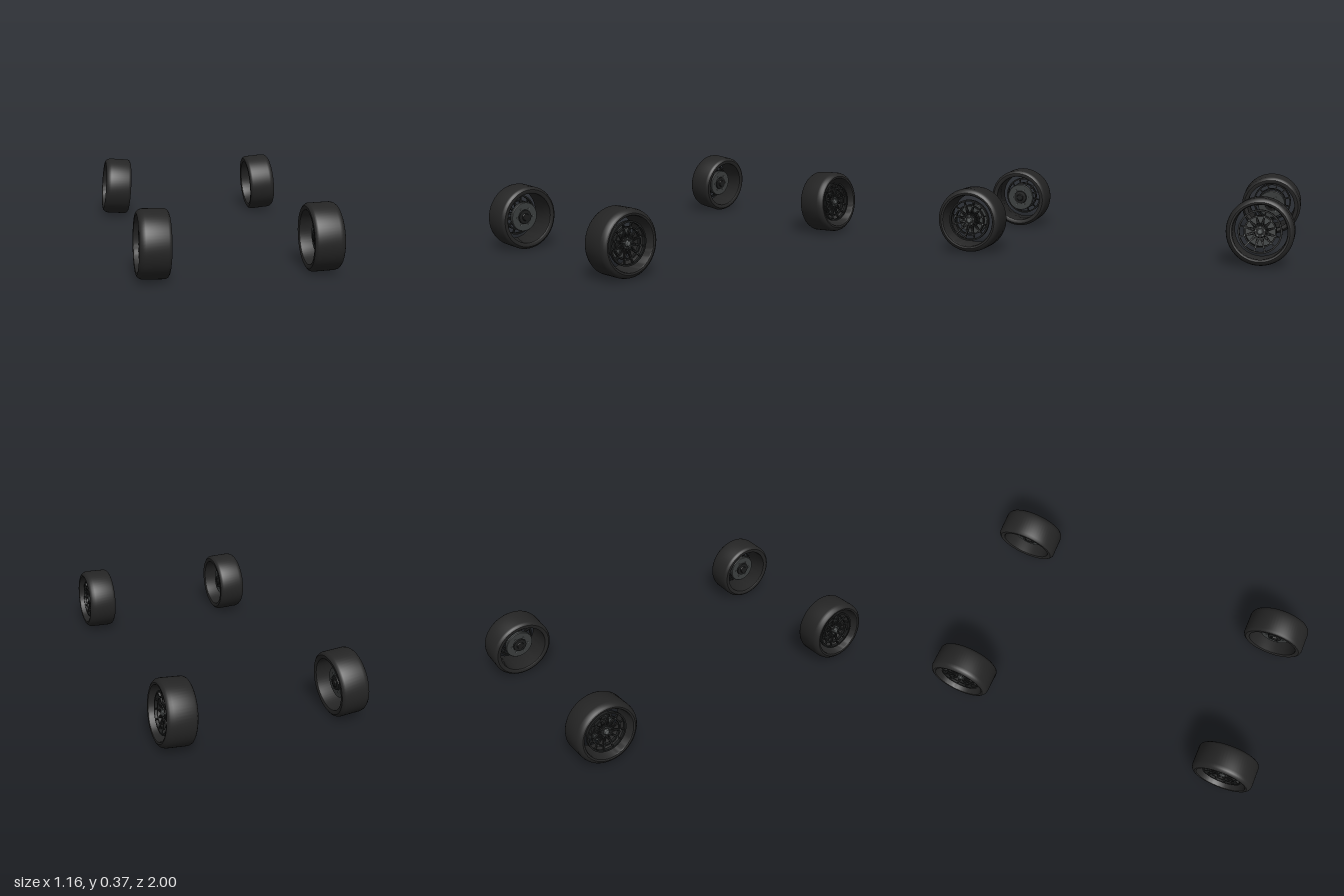
import * as THREE from 'three';
import { toCreasedNormals } from 'three/addons/utils/BufferGeometryUtils.js';

const material = (name, color) => {
  const m = new THREE.MeshStandardMaterial({ color });
  m.name = name;
  return m;
};

export function createModel() {
  const rubber = material('tyre black', 0x252525);
  const rimBlack = material('rim black', 0x1c1d1d);
  const steel = material('dark steel', 0x3c3f3f);
  const boltGrey = material('bolt grey', 0x5c6060);

  // Ring or disc turned about the wheel axle; axis y is later laid along x
  const turned = (points, segments = 64) => toCreasedNormals(
    new THREE.LatheGeometry(points.map(([r, y]) => new THREE.Vector2(r, y)), segments), 0.6);

  const tyreShape = turned([
    [0.144, 0.074], [0.144, -0.078], [0.150, -0.082], [0.166, -0.082], [0.176, -0.075],
    [0.181, -0.064], [0.181, 0.050], [0.177, 0.066], [0.168, 0.077], [0.158, 0.082],
    [0.148, 0.080], [0.144, 0.074]]);
  const outerRing = turned([
    [0.108, 0.058], [0.108, 0.040], [0.117, 0.040], [0.117, 0.058], [0.108, 0.058]]);
  const innerRing = turned([
    [0.079, 0.052], [0.079, 0.034], [0.087, 0.034], [0.087, 0.052], [0.079, 0.052]]);
  const brakeShape = turned([
    [0, -0.030], [0.082, -0.030], [0.085, -0.027], [0.085, -0.013], [0.082, -0.010], [0, -0.010]]);
  const hubShape = turned([
    [0, -0.046], [0.018, -0.046], [0.022, -0.040], [0.040, -0.038], [0.042, -0.030],
    [0.036, 0.030], [0.030, 0.046], [0, 0.046]], 32);
  const capShape = turned([[0.016, 0.044], [0.016, 0.052], [0.012, 0.057], [0, 0.058]], 24);
  const boltShape = new THREE.CylinderGeometry(0.0042, 0.0042, 0.01, 6);

  const SPOKES = 12;

  function makeWheel() {
    const wheel = new THREE.Group();
    const add = (name, geometry, mat) => {
      const mesh = new THREE.Mesh(geometry, mat);
      mesh.name = name;
      wheel.add(mesh);
      return mesh;
    };
    add('tyre', tyreShape, rubber);
    add('rimOuterRing', outerRing, rimBlack);
    add('rimInnerRing', innerRing, rimBlack);
    add('brakeDisc', brakeShape, steel);
    add('hub', hubShape, rimBlack);
    add('centreCap', capShape, boltGrey);

    // A bar lying in the wheel plane between two polar positions
    const bar = (name, r0, a0, y0, r1, a1, y1, width) => {
      const p = new THREE.Vector3(r0 * Math.cos(a0), y0, r0 * Math.sin(a0));
      const q = new THREE.Vector3(r1 * Math.cos(a1), y1, r1 * Math.sin(a1));
      const mesh = add(name, new THREE.BoxGeometry(width, 0.012, p.distanceTo(q)), rimBlack);
      mesh.position.copy(p).add(q).multiplyScalar(0.5);
      mesh.lookAt(q);
    };
    const bolts = (name, count, radius, y, scale) => {
      for (let i = 0; i < count; i++) {
        const a = (i + 0.5) / count * Math.PI * 2;
        const bolt = add(name, boltShape, boltGrey);
        bolt.position.set(radius * Math.cos(a), y, radius * Math.sin(a));
        bolt.scale.set(scale, 1, scale);
      }
    };

    // Crossed inner lattice and straight outer spokes
    for (let i = 0; i < SPOKES; i++) {
      const a = i / SPOKES * Math.PI * 2;
      const half = Math.PI / SPOKES;
      for (const s of [-1, 1]) bar('latticeSpoke', 0.030, a, 0.038, 0.083, a + s * half, 0.044, 0.006);
      bar('outerSpoke', 0.082, a + half, 0.044, 0.112, a + half, 0.050, 0.007);
    }
    bolts('rimBolt', SPOKES, 0.083, 0.050, 0.8);
    bolts('wheelNut', 5, 0.025, 0.046, 1.1);
    bolts('discBolt', 6, 0.052, -0.031, 1);

    wheel.rotation.z = -Math.PI / 2;
    return wheel;
  }

  // Four wheels with the tops leaning inward, more at the back
  const axles = [
    { name: 'front', x: 0.4475, y: 0.186, z: 0.819, camber: 1.6 },
    { name: 'rear', x: 0.485, y: 0.187, z: -0.819, camber: 4.8 },
  ];
  const model = new THREE.Group();
  model.name = 'wheelSet';
  for (const axle of axles) {
    for (const side of [1, -1]) {
      const lean = new THREE.Group();
      lean.rotation.z = THREE.MathUtils.degToRad(axle.camber);
      lean.add(makeWheel());
      const mount = new THREE.Group();
      mount.name = axle.name + (side > 0 ? 'LeftWheel' : 'RightWheel');
      mount.position.set(side * axle.x, axle.y, axle.z);
      mount.rotation.y = side > 0 ? 0 : Math.PI;
      mount.add(lean);
      model.add(mount);
    }
  }
  return model;
}
